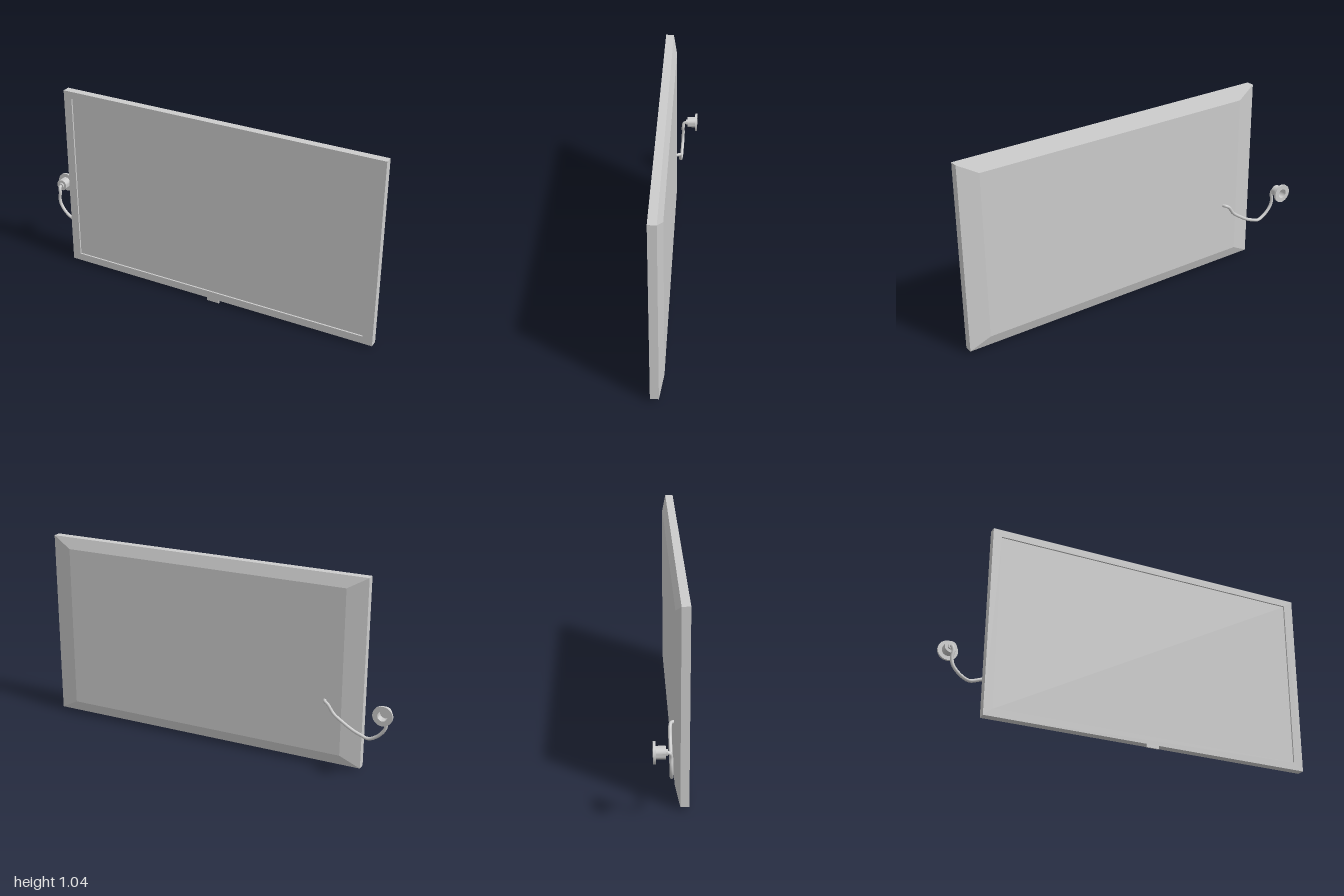
import * as THREE from 'three';
import { toCreasedNormals } from 'three/addons/utils/BufferGeometryUtils.js';

const LEFT = 1.0, RIGHT = -0.805, BOTTOM = 0.017, TOP = 1.037;
const FRONT_Z = 0.088, SEAM_Z = 0.045, BACK_Z = 0.023;

export function createModel() {
  const group = new THREE.Group();
  const grey = new THREE.MeshStandardMaterial({ color: 0xcccccc });

  const add = (name, geometry) => {
    const mesh = new THREE.Mesh(geometry, grey);
    mesh.name = name;
    group.add(mesh);
    return mesh;
  };
  const box = (x0, x1, y0, y1, z0, z1) =>
    new THREE.BoxGeometry(x1 - x0, y1 - y0, z1 - z0)
      .translate((x0 + x1) / 2, (y0 + y1) / 2, (z0 + z1) / 2);
  const rectangle = (path, x0, x1, y0, y1) =>
    path.moveTo(x0, y0).lineTo(x1, y0).lineTo(x1, y1).lineTo(x0, y1).closePath();

  // Bezel with an opening for the screen
  const outline = rectangle(new THREE.Shape(), RIGHT, LEFT, BOTTOM, TOP);
  outline.holes.push(rectangle(new THREE.Path(), -0.758, 0.947, 0.058, 0.998));
  add('bezel', new THREE.ExtrudeGeometry(outline, { depth: FRONT_Z - SEAM_Z, bevelEnabled: false })
    .translate(0, 0, SEAM_Z));

  // Screen panel, slightly recessed
  add('screen', box(-0.758, 0.947, 0.058, 0.998, SEAM_Z, 0.079));

  // Back housing: a box whose rear corners are drawn inward
  const housing = box(RIGHT, LEFT, BOTTOM, TOP, BACK_Z, SEAM_Z);
  const p = housing.attributes.position;
  const midX = (LEFT + RIGHT) / 2, midY = (TOP + BOTTOM) / 2;
  for (let i = 0; i < p.count; i++) {
    if (p.getZ(i) > (BACK_Z + SEAM_Z) / 2) continue;
    p.setX(i, p.getX(i) - Math.sign(p.getX(i) - midX) * 0.107);
    p.setY(i, p.getY(i) - Math.sign(p.getY(i) - midY) * 0.06);
  }
  housing.computeVertexNormals();
  add('backHousing', housing);

  // Small sensor tab under the bottom edge
  add('sensorTab', box(0.06, 0.13, 0, BOTTOM, 0.08, FRONT_Z));

  // Power cable from the back of the housing to the plug
  const cablePath = new THREE.CatmullRomCurve3([
    [-0.607, 0.37, 0.026], [-0.614, 0.37, 0.009], [-0.632, 0.36, 0.003],
    [-0.665, 0.315, 0.002], [-0.72, 0.275, 0.002], [-0.77, 0.245, 0.002],
    [-0.81, 0.228, 0.002], [-0.855, 0.216, 0.001], [-0.9, 0.238, -0.001],
    [-0.938, 0.282, -0.004], [-0.947, 0.32, -0.005], [-0.942, 0.36, -0.005],
    [-0.947, 0.384, -0.01], [-0.948, 0.391, -0.026],
  ].map((v) => new THREE.Vector3(...v)));
  add('powerCable', new THREE.TubeGeometry(cablePath, 80, 0.009, 10, false));

  // Round plug with a collar, a flange and a hollow rear
  const profile = [
    [0, -0.045], [0.026, -0.045], [0.026, -0.088], [0.052, -0.088], [0.052, -0.076],
    [0.031, -0.076], [0.031, -0.03], [0.016, -0.03], [0.016, -0.021], [0, -0.021],
  ].map(([r, z]) => new THREE.Vector2(r, z));
  const plug = add('plug', toCreasedNormals(new THREE.LatheGeometry(profile, 24), 0.6));
  plug.rotation.x = Math.PI / 2;
  plug.position.set(-0.948, 0.391, 0);

  return group;
}
